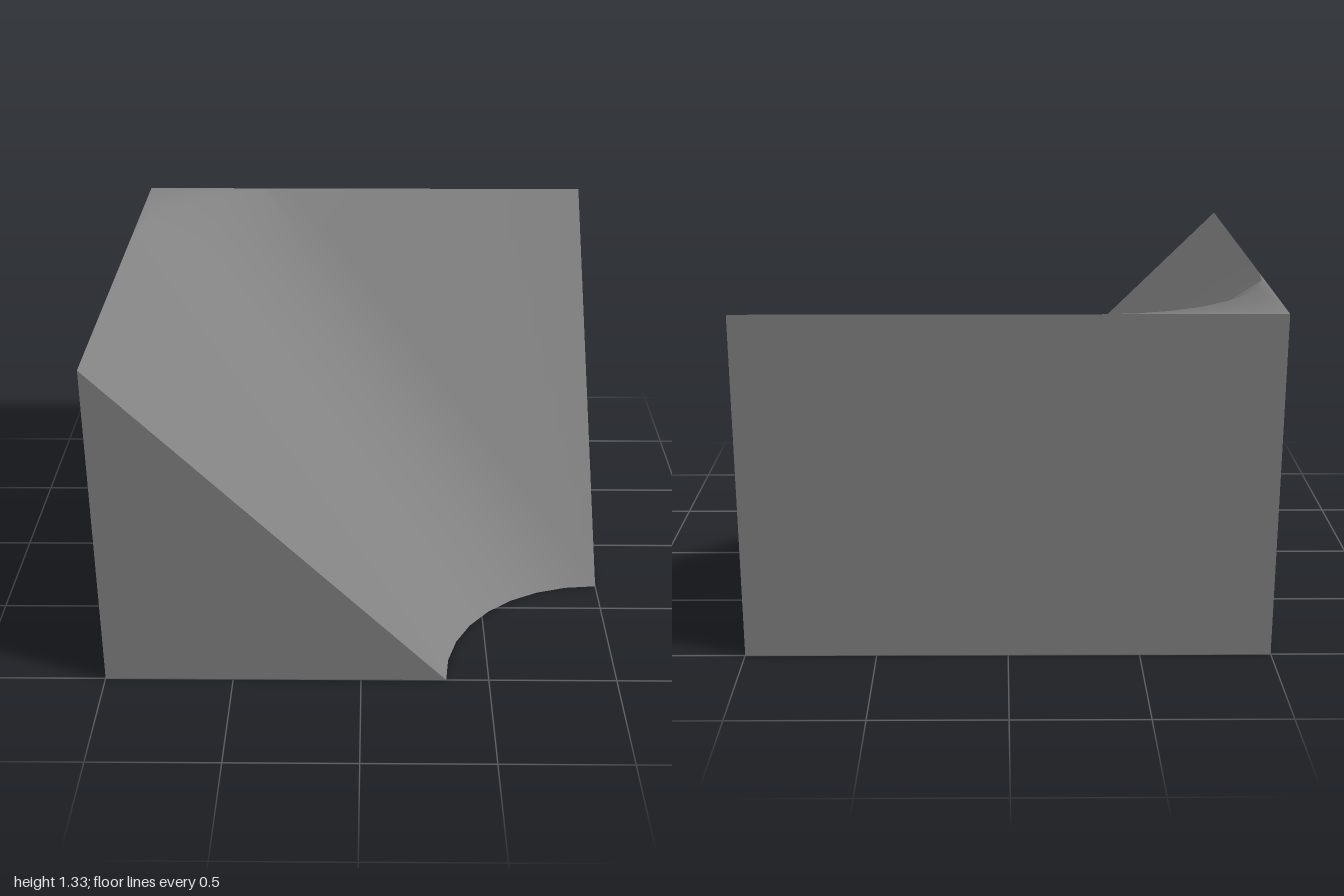
import * as THREE from 'three';
import { toCreasedNormals } from 'three/addons/utils/BufferGeometryUtils.js';

const H = 4 / 3;      // height, equal to the run of the 45 degree slopes
const R = 2 / 3;      // radius of the rounded valley
const SEGMENTS = 8;   // around the valley
const ROWS = 8;       // up the slope

// Points of the quarter arc at height y; it slides back along the diagonal as it rises
function valleyArc(y) {
  const points = [];
  for (let i = 0; i <= SEGMENTS; i++) {
    const a = (i / SEGMENTS) * Math.PI / 2;
    points.push([1 - y - R * Math.cos(a), y, 1 - y - R * Math.sin(a)]);
  }
  return points;
}

export function createModel() {
  const positions = [];
  // Adds a polygon as a fan around its first corner
  const face = (...c) => {
    for (let i = 1; i < c.length - 1; i++) positions.push(...c[0], ...c[i], ...c[i + 1]);
  };

  const low = valleyArc(0), high = valleyArc(H);
  const lowStart = low[0], lowEnd = low[SEGMENTS];
  const backLow = [-1, 0, -1], backHigh = [-1, H, -1];
  const frontLow = [-1, 0, 1], frontHigh = [-1, H, 1];
  const sideLow = [1, 0, -1], sideHigh = [1, H, -1];

  // Slope in rows: a rounded valley with a plane on each side, which starts as a point
  for (let row = 0; row < ROWS; row++) {
    const y0 = H * row / ROWS, y1 = H * (row + 1) / ROWS;
    const a = valleyArc(y0), b = valleyArc(y1);
    for (let i = 0; i < SEGMENTS; i++) face(a[i], a[i + 1], b[i + 1], b[i]);

    const run0 = 1 - R - y0, run1 = 1 - R - y1;
    face(a[0], b[0], [run1, y1, 1], ...(row ? [[run0, y0, 1]] : []));
    face(a[SEGMENTS], ...(row ? [[1, y0, run0]] : []), [1, y1, run1], b[SEGMENTS]);
  }

  // Flat corner on top, and the underside
  face(backHigh, ...high);
  face(backLow, sideLow, ...low.slice().reverse(), frontLow);

  // Full walls at the back and at -x
  face(sideLow, backLow, backHigh, sideHigh);
  face(backLow, frontLow, frontHigh, backHigh);

  // Triangular walls at the front and at +x
  face(frontLow, lowStart, frontHigh);
  face(lowEnd, sideLow, sideHigh);

  const geometry = new THREE.BufferGeometry();
  geometry.setAttribute('position', new THREE.Float32BufferAttribute(positions, 3));
  const block = new THREE.Mesh(
    toCreasedNormals(geometry, THREE.MathUtils.degToRad(40)),
    new THREE.MeshStandardMaterial({ color: 0x828282 })
  );
  block.name = 'innerCornerSlope';

  const model = new THREE.Group();
  model.name = 'cornerSlopeBlock';
  model.add(block);
  return model;
}
